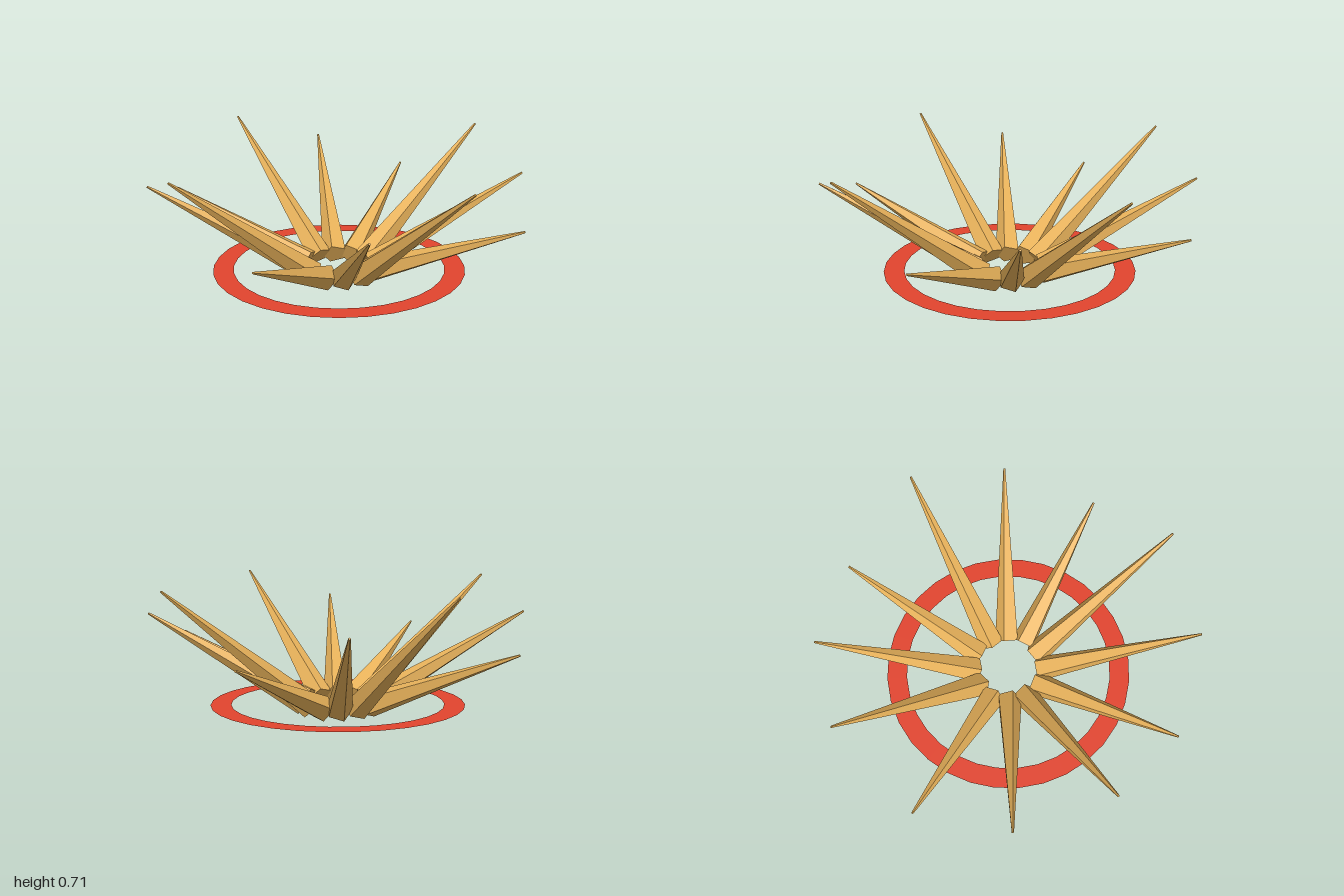
import * as THREE from 'three';

export function createModel() {
  const model = new THREE.Group();
  const gold = new THREE.MeshStandardMaterial({ color: 0xe8b25a, flatShading: true });
  gold.name = 'gold';
  const red = new THREE.MeshStandardMaterial({ color: 0xe2442e, side: THREE.DoubleSide });
  red.name = 'red';

  // Flat ring level with the spike bases
  const level = 0.062;
  const ring = new THREE.Mesh(new THREE.RingGeometry(0.57, 0.68, 32), red);
  ring.name = 'ring';
  ring.rotation.x = -Math.PI / 2;
  ring.position.y = level;
  model.add(ring);

  // Twelve five-sided spikes fanning outward, cycling through three heights
  const baseRadius = 0.18, tipRadius = 0.997;
  const tipHeights = [0.39, 0.55, 0.71];
  for (let i = 0; i < 12; i++) {
    const run = tipRadius - baseRadius;
    const rise = tipHeights[i % 3] - level;
    const length = Math.hypot(run, rise);

    // One edge of each spike points squarely sideways
    const spike = new THREE.Mesh(
      new THREE.CylinderGeometry(0.006, 0.07, length, 5, 1, false, Math.PI), gold);
    spike.name = 'spike';
    spike.position.set(baseRadius + run / 2, level + rise / 2, 0);
    spike.rotation.z = -Math.atan2(run, rise);

    const arm = new THREE.Group();
    arm.name = 'spikeArm' + (i + 1);
    arm.rotation.y = (i * Math.PI) / 6;
    arm.add(spike);
    model.add(arm);
  }
  return model;
}
